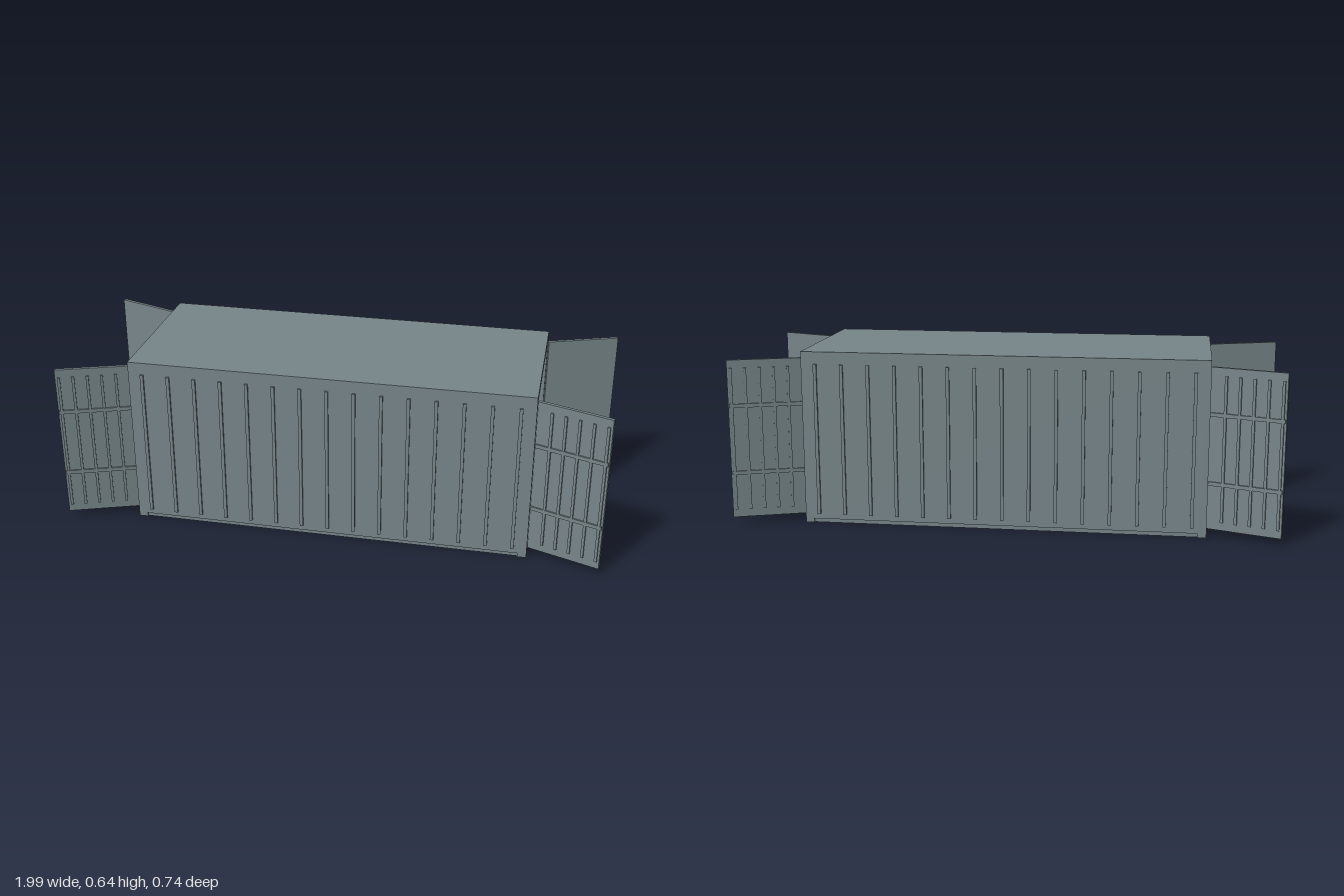
import * as THREE from 'three';

const material = new THREE.MeshStandardMaterial({ color: 0x78868a });

const HALF_X = 0.735, HALF_Z = 0.3, HEIGHT = 0.64, BEAM = 0.032, SKIN = 0.015;

function box(parent, name, w, h, d, x, y, z) {
  const mesh = new THREE.Mesh(new THREE.BoxGeometry(w, h, d), material);
  mesh.name = name;
  mesh.position.set(x, y, z);
  parent.add(mesh);
  return mesh;
}

// Open door leaf with ribs on its outer face; local origin is the hinge corner
function createDoor(sx, sz) {
  const door = new THREE.Group();
  door.name = (sz > 0 ? 'front' : 'back') + (sx > 0 ? 'LeftDoor' : 'RightDoor');
  const length = 0.272, thick = 0.013, rib = 0.006;
  box(door, 'doorPanel', length, 0.586, thick, sx * length / 2, 0, sz * thick / 2);
  const ribZ = sz * (thick + rib / 2 - 0.0005);
  for (let i = 0; i < 5; i++) {
    box(door, 'doorRib', 0.01, 0.528, rib, sx * (0.055 + i * 0.051), 0, ribZ);
  }
  for (const y of [-0.125, 0.125]) {
    box(door, 'doorCrossbar', length - 0.006, 0.014, rib + 0.001, sx * length / 2, y, ribZ);
  }
  door.position.set(sx * 0.74, 0.32, sz * 0.26);
  door.rotation.y = -sx * sz * THREE.MathUtils.degToRad(20);
  return door;
}

export function createModel() {
  const model = new THREE.Group();
  model.name = 'shippingContainer';
  const innerX = HALF_X - BEAM;

  // Roof and floor panels
  box(model, 'roof', innerX * 2, SKIN, HALF_Z * 2, 0, HEIGHT - SKIN / 2, 0);
  box(model, 'floor', innerX * 2, SKIN, (HALF_Z - 0.006) * 2, 0, SKIN / 2, 0);

  // Square end frames, open in the middle
  for (const sx of [-1, 1]) {
    const x = sx * (HALF_X - BEAM / 2);
    box(model, 'sill', BEAM, BEAM, HALF_Z * 2, x, BEAM / 2, 0);
    box(model, 'lintel', BEAM, BEAM, HALF_Z * 2, x, HEIGHT - BEAM / 2, 0);
    for (const sz of [-1, 1]) {
      box(model, 'cornerPost', BEAM, HEIGHT - BEAM * 2, BEAM, x, HEIGHT / 2, sz * (HALF_Z - BEAM / 2));
    }
  }

  // Side walls with long inner rails and evenly spaced outer ribs
  for (const sz of [-1, 1]) {
    box(model, 'sideWall', innerX * 2, HEIGHT - SKIN * 2, SKIN, 0, HEIGHT / 2, sz * (HALF_Z - SKIN / 2));
    for (const y of [(SKIN + BEAM) / 2, HEIGHT - (SKIN + BEAM) / 2]) {
      box(model, 'innerRail', innerX * 2, BEAM - SKIN, BEAM - SKIN, 0, y, sz * (HALF_Z - (SKIN + BEAM) / 2));
    }
    for (let i = -7; i <= 7; i++) {
      box(model, 'wallRib', 0.012, 0.56, 0.009, i * 0.0975, 0.315, sz * (HALF_Z + 0.003));
    }
  }

  // Four doors swung open
  for (const sx of [-1, 1]) for (const sz of [-1, 1]) model.add(createDoor(sx, sz));

  return model;
}
